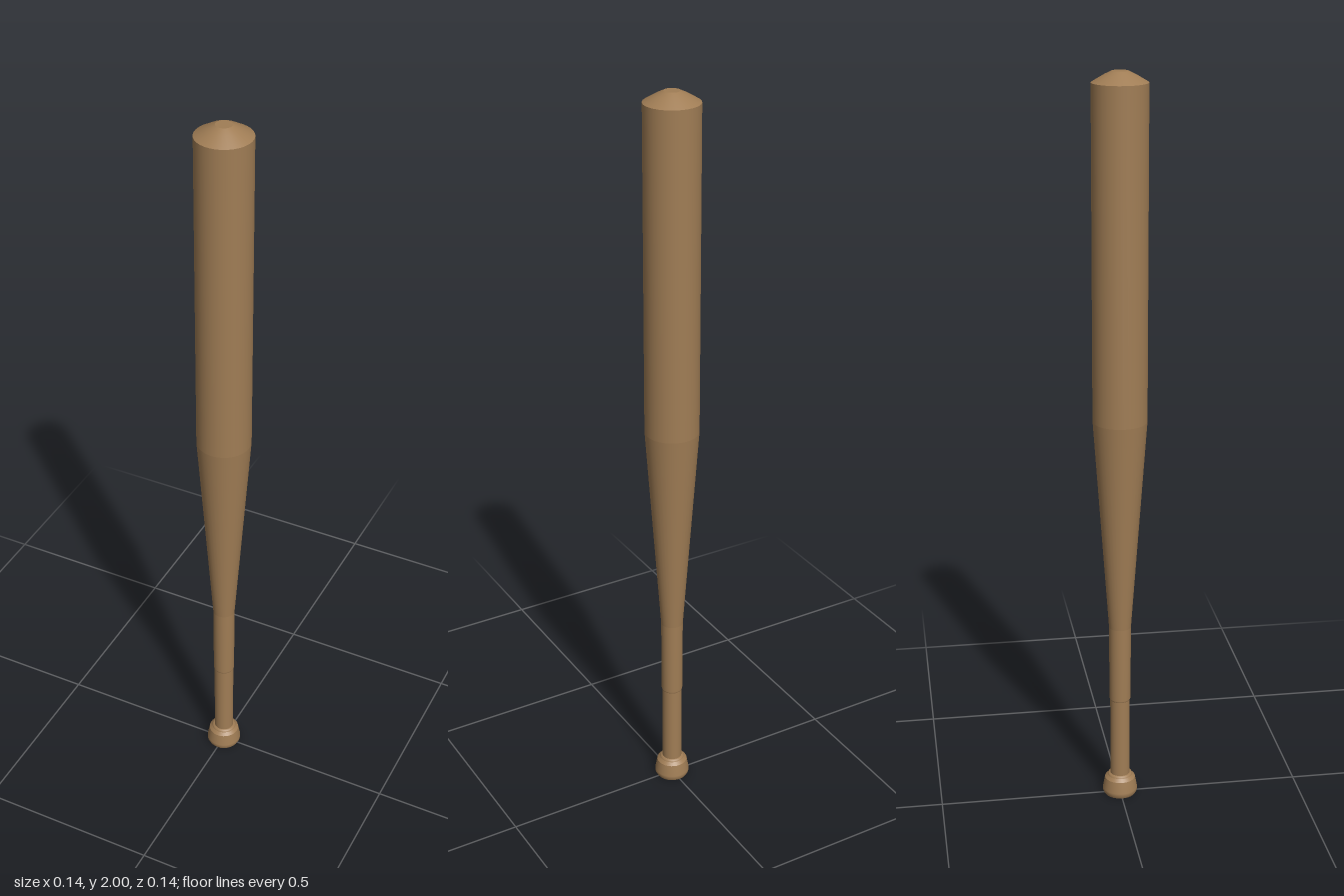
import * as THREE from 'three';

const wood = new THREE.MeshStandardMaterial({ color: 0xa07d55 });

// One turned section; separate sections keep the edges between them sharp.
function turned(name, profile) {
  const points = profile.map(([r, y]) => new THREE.Vector2(r, y));
  const mesh = new THREE.Mesh(new THREE.LatheGeometry(points, 32), wood);
  mesh.name = name;
  return mesh;
}

export function createModel() {
  const bat = new THREE.Group();
  bat.name = 'bat';

  // Knob: flat base, flared side and stepped shoulder
  bat.add(
    turned('knobBase', [[0, 0], [0.044, 0]]),
    turned('knobSide', [[0.044, 0], [0.048, 0.008], [0.048, 0.016], [0.042, 0.048]]),
    turned('knobShoulder', [[0.042, 0.048], [0.034, 0.056]]),
    turned('knobCollar', [[0.034, 0.056], [0.032, 0.061], [0.027, 0.062]])
  );

  // Handle, swelling slightly towards the taper
  bat.add(
    turned('handle', [[0.027, 0.06], [0.027, 0.29]]),
    turned('upperHandle', [[0.027, 0.29], [0.029, 0.295], [0.03, 0.51]])
  );

  // Taper and barrel
  bat.add(
    turned('taper', [[0.03, 0.51], [0.072, 1.1]]),
    turned('barrel', [[0.072, 1.1], [0.072, 1.972]])
  );

  // Shallow domed end with a small flat tip
  bat.add(
    turned('endCap', [[0.072, 1.972], [0.04, 1.991], [0.021, 2]]),
    turned('tip', [[0.021, 2], [0, 2]])
  );

  return bat;
}
